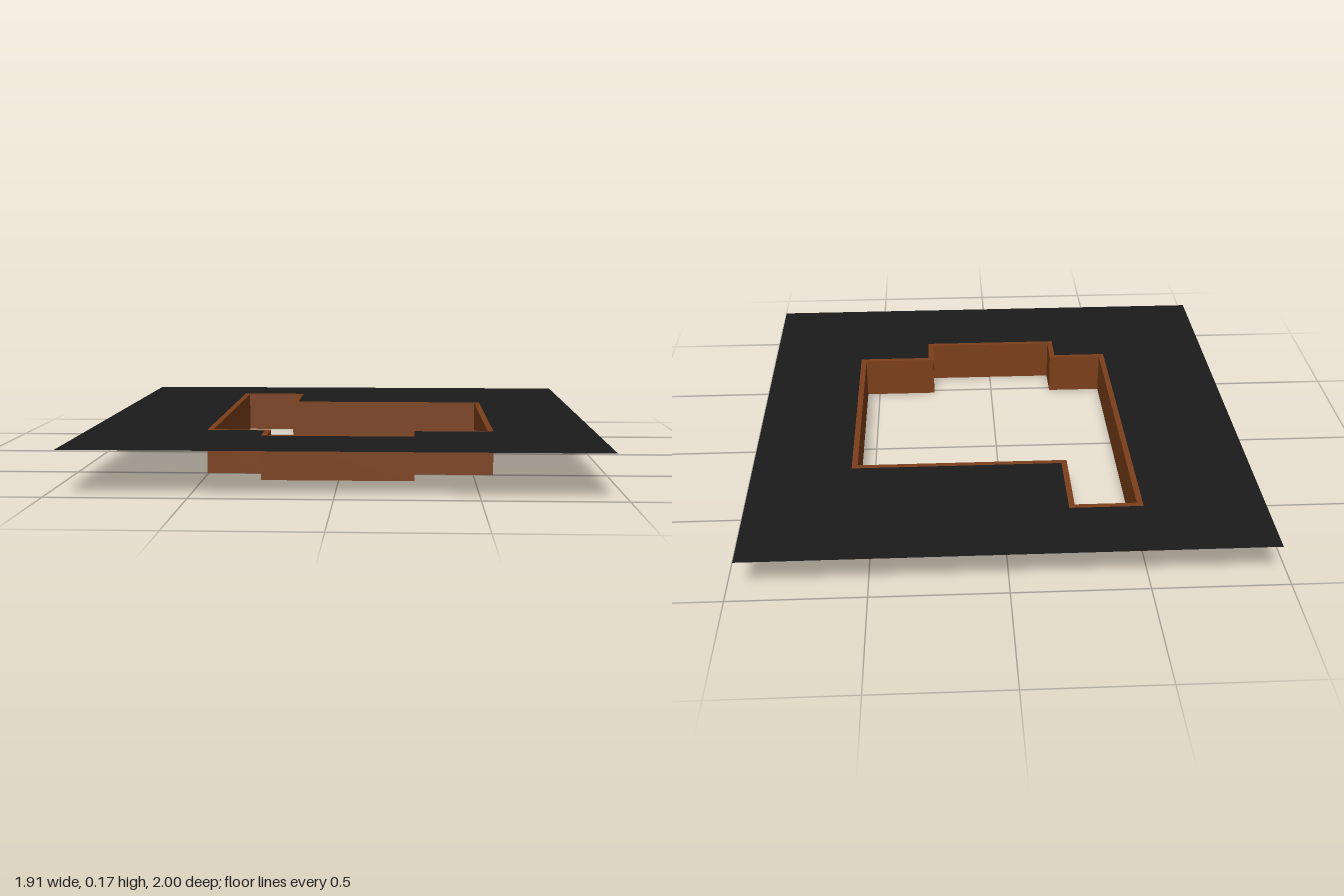
import * as THREE from 'three';

const HEIGHT = 0.165, WALL = 0.022;

// Outer outline of the wall as [x, -z], clockwise from the back left corner
const OUTLINE = [
  [-0.504, 0.722], [-0.231, 0.722], [-0.231, 0.412], [0.575, 0.412], [0.575, -0.501],
  [0.278, -0.501], [0.278, -0.641], [-0.285, -0.641], [-0.285, -0.501], [-0.504, -0.501],
].map(([x, y]) => new THREE.Vector2(x, y));

// Move every corner inwards along the normals of its two edges
function inset(points, distance) {
  const n = points.length;
  const inward = (a, b) => {
    const d = b.clone().sub(a).normalize();
    return new THREE.Vector2(d.y, -d.x);
  };
  return points.map((p, i) => p.clone()
    .addScaledVector(inward(points[(i + n - 1) % n], p), distance)
    .addScaledVector(inward(p, points[(i + 1) % n]), distance));
}

function addMesh(group, name, geometry, material) {
  geometry.rotateX(-Math.PI / 2);
  const mesh = new THREE.Mesh(geometry, material);
  mesh.name = name;
  group.add(mesh);
  return mesh;
}

export function createModel() {
  const group = new THREE.Group();
  group.name = 'framedOpening';

  const brown = new THREE.MeshStandardMaterial({ color: 0x7b3f1a });
  brown.name = 'brown';
  const charcoal = new THREE.MeshStandardMaterial({ color: 0x1b1b1b, side: THREE.DoubleSide });
  charcoal.name = 'charcoal';

  // Stepped wall around the opening; the hole runs the other way so its faces look inwards
  const wall = new THREE.Shape(OUTLINE);
  wall.holes.push(new THREE.Path(inset(OUTLINE, WALL).reverse()));
  addMesh(group, 'wall', new THREE.ExtrudeGeometry(wall, { depth: HEIGHT, bevelEnabled: false }), brown);

  // Flat sheet level with the top of the wall
  const sheet = new THREE.Shape([[-0.953, -1], [0.953, -1], [0.953, 1], [-0.953, 1]]
    .map(([x, y]) => new THREE.Vector2(x, y)));
  sheet.holes.push(new THREE.Path(OUTLINE));
  addMesh(group, 'groundSheet', new THREE.ShapeGeometry(sheet), charcoal).position.y = HEIGHT;

  return group;
}
